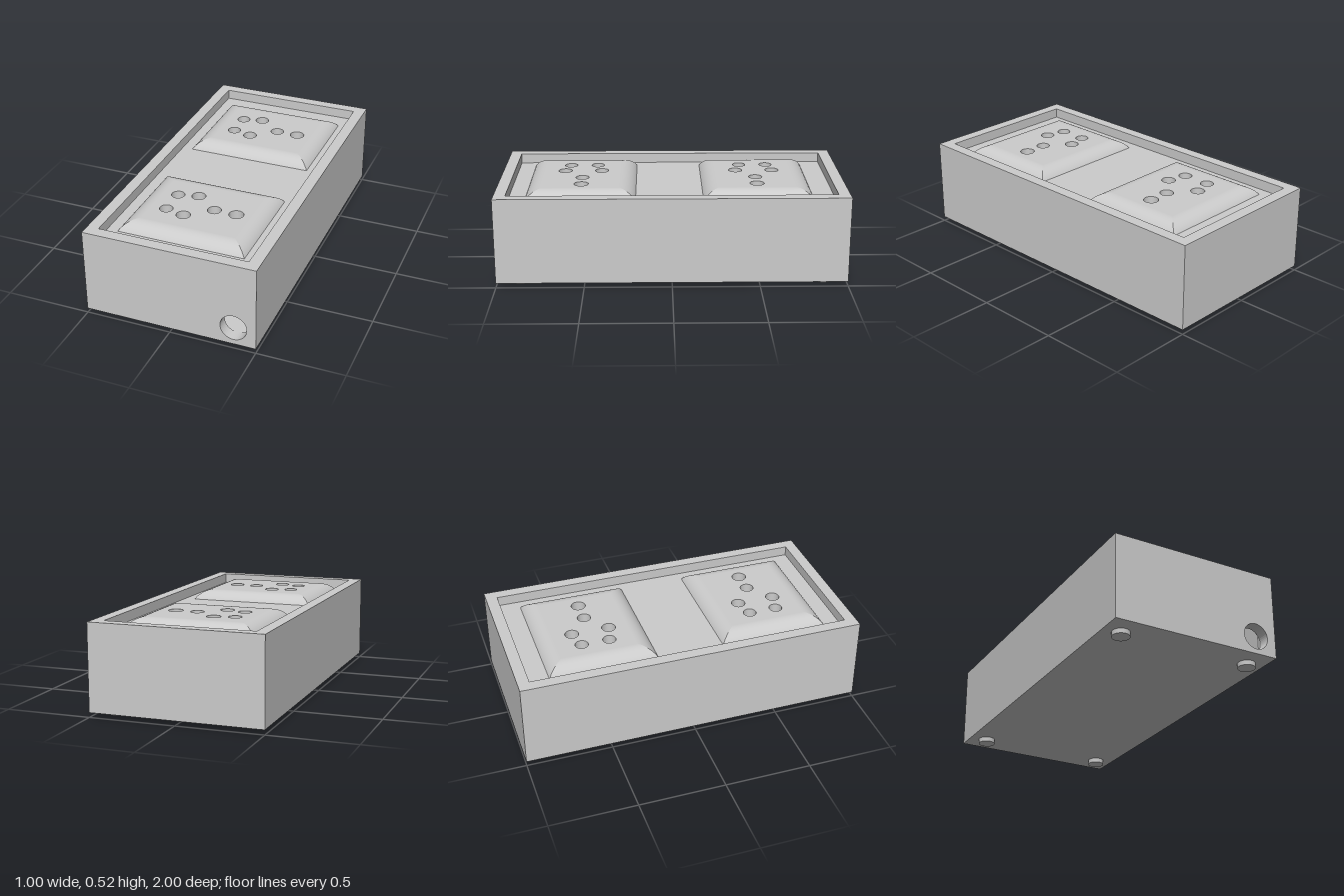
import * as THREE from 'three';

const material = new THREE.MeshStandardMaterial({ color: 0xcccccc });

const TOP = 0.525, BOTTOM = 0.027, FLOOR = 0.055;
const WALL = 0.067;
const PANEL_TOP = 0.467, PANEL_BOTTOM = 0.43;
const PAD = { halfX: 0.37, halfZ: 0.315, bevel: 0.095, height: 0.055 };
const PAD_CENTRES = [-0.495, 0.522];

// Hole positions in a pad: x, z, radius
const PAD_HOLES = [
  [-0.185, -0.081, 0.038], [-0.185, 0.081, 0.038],
  [-0.07, -0.109, 0.04], [-0.07, 0.109, 0.04],
  [0.07, 0, 0.039], [0.2, 0, 0.042],
];

function rect(x0, y0, x1, y1) {
  return new THREE.Shape([[x0, y0], [x1, y0], [x1, y1], [x0, y1]].map(p => new THREE.Vector2(...p)));
}

function addHoles(shape, holes, dy = 0) {
  for (const [x, y, r] of holes) {
    shape.holes.push(new THREE.Path().absarc(x, y + dy, r, 0, Math.PI * 2, true));
  }
  return shape;
}

function extrude(shape, depth) {
  return new THREE.ExtrudeGeometry(shape, { depth, bevelEnabled: false, curveSegments: 24 });
}

// Plan shape (shape y = -z) extruded upwards from y0 to y1
function slab(shape, y0, y1) {
  return extrude(shape, y1 - y0).rotateX(-Math.PI / 2).translate(0, y0, 0);
}

function mesh(name, geometry, mat = material) {
  const m = new THREE.Mesh(geometry, mat);
  m.name = name;
  return m;
}

// One rounded edge strip of a pad, facing outwards along +z before turning
function roundedEdge(halfLength, halfDepth) {
  const steps = 10, start = Math.PI / 3;
  const radius = PAD.bevel / Math.sin(start);
  const pos = [], nor = [], idx = [];
  for (let i = 0; i <= steps; i++) {
    const a = start * (1 - i / steps);
    const inset = PAD.bevel - radius * Math.sin(a);
    const y = PAD.height * (Math.cos(a) - Math.cos(start)) / (1 - Math.cos(start));
    for (const side of [-1, 1]) {
      pos.push(side * (halfLength - inset), y, halfDepth - inset);
      nor.push(0, Math.cos(a), Math.sin(a));
    }
    if (i < steps) {
      const b = i * 2;
      idx.push(b, b + 1, b + 3, b, b + 3, b + 2);
    }
  }
  const g = new THREE.BufferGeometry();
  g.setAttribute('position', new THREE.Float32BufferAttribute(pos, 3));
  g.setAttribute('normal', new THREE.Float32BufferAttribute(nor, 3));
  g.setIndex(idx);
  return g;
}

function createPad() {
  const pad = new THREE.Group();
  pad.name = 'raisedPad';
  for (let k = 0; k < 4; k++) {
    const [len, depth] = k % 2 ? [PAD.halfZ, PAD.halfX] : [PAD.halfX, PAD.halfZ];
    pad.add(mesh('padRoundedEdge', roundedEdge(len, depth).rotateY(k * Math.PI / 2)));
  }
  // Flat top, with hole walls running down to the panel
  const hx = PAD.halfX - PAD.bevel, hz = PAD.halfZ - PAD.bevel;
  pad.add(mesh('padTop', slab(addHoles(rect(-hx, -hz, hx, hz), PAD_HOLES), 0, PAD.height)));
  return pad;
}

export function createModel() {
  const model = new THREE.Group();
  model.name = 'box';
  const inX = 0.5 - WALL, inZ = 1 - WALL;

  // Case: floor, three walls as one U, and the front wall with its round opening
  const floor = new THREE.BoxGeometry(1, FLOOR - BOTTOM, 2);
  model.add(mesh('floor', floor.translate(0, (FLOOR + BOTTOM) / 2, 0)));

  const u = [[-0.5, -inZ], [-inX, -inZ], [-inX, inZ], [inX, inZ], [inX, -inZ], [0.5, -inZ], [0.5, 1], [-0.5, 1]];
  const walls = new THREE.Shape(u.map(p => new THREE.Vector2(...p)));
  model.add(mesh('sideAndBackWalls', slab(walls, FLOOR, TOP)));

  const front = addHoles(rect(-0.5, FLOOR, 0.5, TOP), [[0.372, 0.132, 0.076]]);
  model.add(mesh('frontWall', extrude(front, WALL).translate(0, 0, inZ)));

  // Sunken panel, pierced under the pads
  const panel = rect(-inX, -inZ, inX, inZ);
  for (const z of PAD_CENTRES) addHoles(panel, PAD_HOLES, -z);
  model.add(mesh('panel', slab(panel, PANEL_BOTTOM, PANEL_TOP)));

  for (const z of PAD_CENTRES) {
    const pad = createPad();
    pad.position.set(0, PANEL_TOP, z);
    model.add(pad);
  }

  // Feet
  for (const x of [-0.395, 0.395]) {
    for (const z of [-0.867, 0.867]) {
      const foot = mesh('foot', new THREE.CylinderGeometry(0.05, 0.05, BOTTOM, 32));
      foot.position.set(x, BOTTOM / 2, z);
      model.add(foot);
    }
  }
  return model;
}
